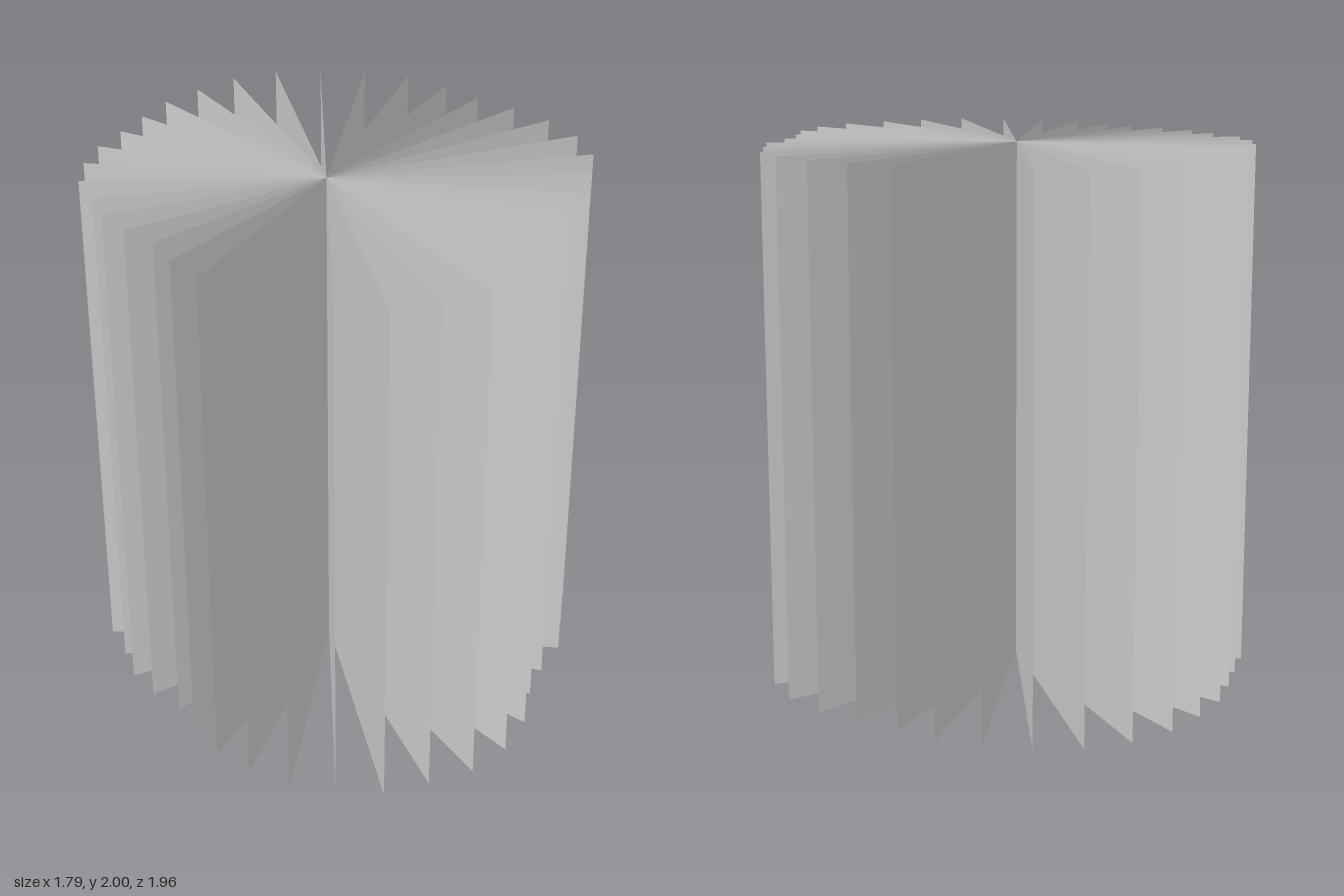
import * as THREE from 'three';

// Width of each page, one every 10 degrees, starting at +z and turning towards +x
const WIDTHS = [
  1.0, 0.955, 0.89, 0.885, 0.93, 0.945, 0.99, 1.0, 0.982,
  0.955, 0.935, 0.98, 1.01, 1.01, 1.03, 1.03, 1.01, 0.968,
  0.937, 0.895, 0.875, 0.885, 0.885, 0.877, 0.83, 0.825, 0.8,
  0.77, 0.82, 0.873, 0.925, 0.98, 1.015, 1.015, 1.005, 1.02,
];
const HEIGHT = 2;

export function createModel() {
  const model = new THREE.Group();
  model.name = 'pageFan';
  const material = new THREE.MeshStandardMaterial({
    color: 0xcccccc,
    side: THREE.DoubleSide,
    flatShading: true,
  });

  // Thin upright pages, all hinged on one vertical spine
  const pages = new THREE.Group();
  pages.name = 'pages';
  pages.position.set(-0.075, 0, -0.027);
  WIDTHS.forEach((width, i) => {
    const geometry = new THREE.PlaneGeometry(width, HEIGHT);
    geometry.translate(width / 2, HEIGHT / 2, 0);
    const page = new THREE.Mesh(geometry, material);
    page.name = `page${i + 1}`;
    page.rotation.y = (i / WIDTHS.length) * Math.PI * 2 - Math.PI / 2;
    pages.add(page);
  });
  model.add(pages);
  return model;
}
